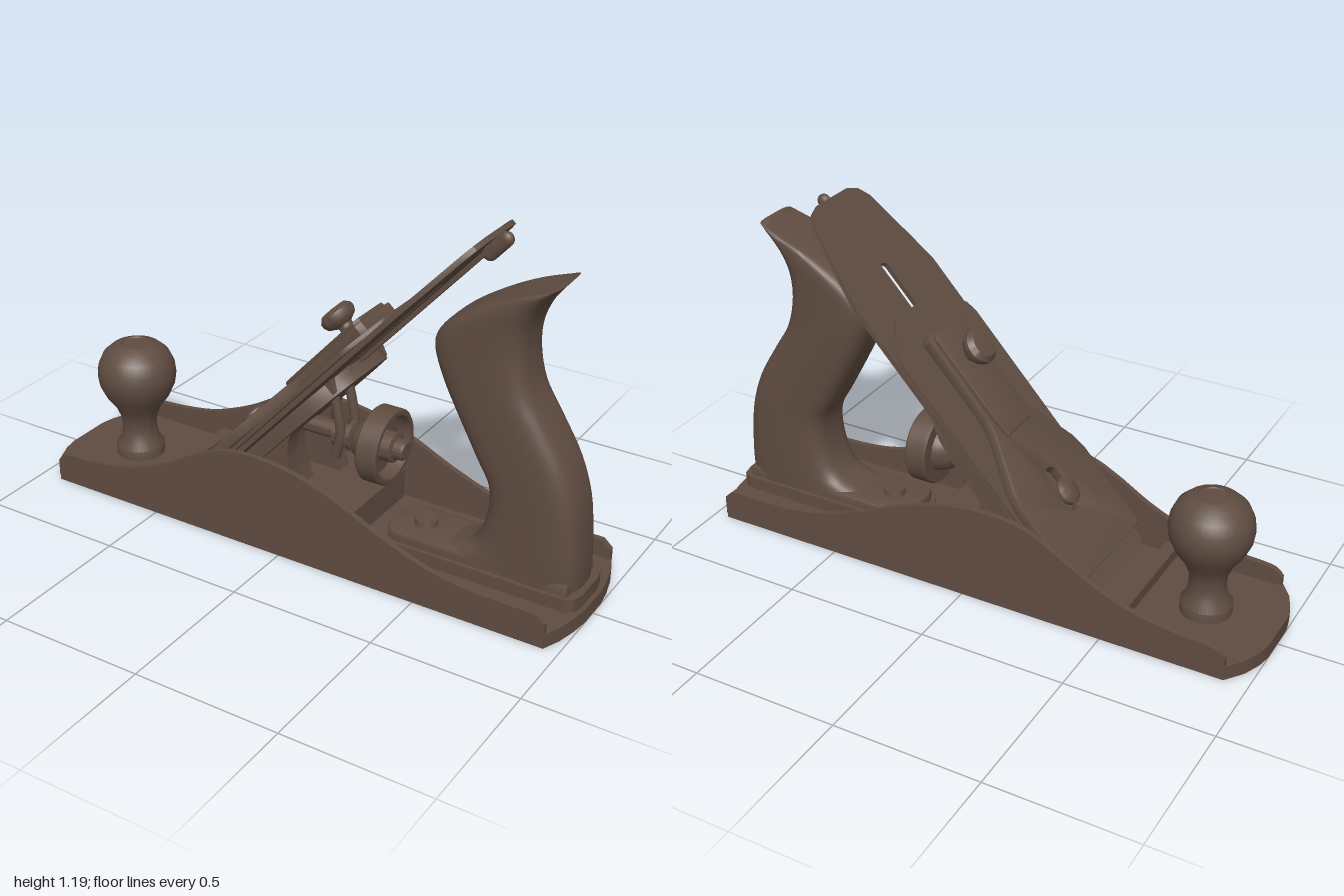
import * as THREE from 'three';
import { toCreasedNormals } from 'three/addons/utils/BufferGeometryUtils.js';

const bronze = new THREE.MeshStandardMaterial({ color: 0x5f4c41 });
bronze.name = 'dark bronze';

const V2 = (p) => new THREE.Vector2(p[0], p[1]);

function part(parent, name, geometry, x = 0, y = 0, z = 0) {
  const mesh = new THREE.Mesh(geometry, bronze);
  mesh.name = name;
  mesh.position.set(x, y, z);
  parent.add(mesh);
  return mesh;
}

const box = (w, h, d) => new THREE.BoxGeometry(w, h, d);
const cylinder = (r0, r1, h) => toCreasedNormals(new THREE.CylinderGeometry(r0, r1, h, 32), 0.6);
const lathe = (points) => toCreasedNormals(new THREE.LatheGeometry(points.map(V2), 40), 0.6);

// Horizontal plate, symmetric in z, from half an outline of [x, z] points
function plate(half, y0, y1, hole, bevel = 0) {
  const other = half.filter((p) => p[1] > 0).reverse().map(([x, z]) => [x, -z]);
  const shape = new THREE.Shape([...half, ...other].map(V2));
  if (hole) {
    const [a, b, r] = hole;
    const path = new THREE.Path();
    path.absarc(a, 0, r, Math.PI / 2, Math.PI * 1.5, false);
    path.absarc(b, 0, r, -Math.PI / 2, Math.PI / 2, false);
    path.closePath();
    shape.holes.push(path);
  }
  const geometry = new THREE.ExtrudeGeometry(shape, {
    depth: y1 - y0 - 2 * bevel, bevelEnabled: bevel > 0, bevelSize: bevel,
    bevelThickness: bevel, bevelOffset: -bevel, bevelSegments: 2, curveSegments: 12,
  });
  geometry.rotateX(-Math.PI / 2).translate(0, y0 + bevel, 0);
  return toCreasedNormals(geometry, 0.5);
}

// Upright slab: side profile in x and y, given thickness in z
function slab(shape, thickness) {
  const geometry = new THREE.ExtrudeGeometry(shape, { depth: thickness, bevelEnabled: false, curveSegments: 40 });
  return toCreasedNormals(geometry.translate(0, 0, -thickness / 2), 0.5);
}

// Rear grip lofted through [frontX, frontY, backX, backY, halfWidth] sections
function gripGeometry() {
  const sections = [
    [0.52, 0.13, 0.965, 0.08, 0.105], [0.60, 0.17, 0.967, 0.16, 0.105], [0.645, 0.27, 0.96, 0.27, 0.105],
    [0.648, 0.38, 0.945, 0.38, 0.105], [0.6, 0.47, 0.905, 0.5, 0.105], [0.53, 0.6, 0.835, 0.62, 0.105],
    [0.48, 0.7, 0.775, 0.72, 0.105], [0.448, 0.79, 0.75, 0.83, 0.105], [0.45, 0.84, 0.755, 0.92, 0.105],
    [0.5, 0.905, 0.78, 0.985, 0.105], [0.6, 0.975, 0.81, 1.03, 0.102], [0.7, 1.025, 0.835, 1.06, 0.098],
    [0.81, 1.065, 0.85, 1.078, 0.085],
  ];
  const front = new THREE.CatmullRomCurve3(sections.map((s) => new THREE.Vector3(s[0], s[1], s[4])));
  const back = new THREE.CatmullRomCurve3(sections.map((s) => new THREE.Vector3(s[2], s[3], s[4])));
  const rings = 48, sides = 40, positions = [], index = [];
  const soft = (v) => Math.sign(v) * Math.abs(v) ** 0.55;
  for (let i = 0; i <= rings; i++) {
    const f = front.getPoint(i / rings), b = back.getPoint(i / rings);
    for (let j = 0; j < sides; j++) {
      const a = (j / sides) * Math.PI * 2, k = soft(Math.cos(a)) / 2;
      positions.push((f.x + b.x) / 2 + (b.x - f.x) * k, (f.y + b.y) / 2 + (b.y - f.y) * k, f.z * soft(Math.sin(a)));
    }
  }
  for (let i = 0; i < rings; i++) {
    for (let j = 0; j < sides; j++) {
      const a = i * sides + j, c = i * sides + (j + 1) % sides;
      index.push(a, a + sides, c, c, a + sides, c + sides);
    }
  }
  const top = rings * sides;
  for (let j = 1; j < sides - 1; j++) index.push(top, top + j + 1, top + j);
  const geometry = new THREE.BufferGeometry();
  geometry.setAttribute('position', new THREE.Float32BufferAttribute(positions, 3));
  geometry.setIndex(index);
  return toCreasedNormals(geometry, 0.9);
}

export function createModel() {
  const model = new THREE.Group();
  model.name = 'handPlane';

  // Sole with curved ends
  part(model, 'sole', plate([[-1, 0.08], [-0.99, 0.13], [-0.965, 0.19], [-0.92, 0.25],
    [0.95, 0.25], [0.975, 0.19], [0.992, 0.12], [1, 0.06]], 0, 0.05));

  // Curved side cheeks
  const cheek = new THREE.Shape();
  cheek.moveTo(0.95, 0.02);
  cheek.lineTo(-0.92, 0.02);
  cheek.lineTo(-0.92, 0.08);
  cheek.splineThru([[-0.88, 0.108], [-0.74, 0.12], [-0.6, 0.145], [-0.45, 0.205], [-0.32, 0.28], [-0.22, 0.325],
    [-0.1, 0.34], [0.05, 0.325], [0.2, 0.28], [0.38, 0.2], [0.55, 0.14], [0.7, 0.117], [0.92, 0.113]].map(V2));
  cheek.lineTo(0.95, 0.085);
  for (const side of [1, -1]) part(model, 'cheek', slab(cheek, 0.02), 0, 0, side * 0.243);

  // Ridge ahead of the mouth
  part(model, 'mouthRidge', box(0.045, 0.05, 0.47), -0.535, 0.065);

  // Front knob
  part(model, 'frontKnob', lathe([[0.085, 0.04], [0.085, 0.085], [0.068, 0.11], [0.06, 0.15], [0.062, 0.19],
    [0.08, 0.235], [0.112, 0.28], [0.132, 0.325], [0.137, 0.36], [0.133, 0.395], [0.115, 0.435], [0.085, 0.462],
    [0.05, 0.474], [0.048, 0.47], [0, 0.47]]), -0.755);

  // Rear grip, its toe and heel pad
  part(model, 'rearGrip', gripGeometry());
  part(model, 'gripToe', plate([[0.3, 0.05], [0.315, 0.085], [0.35, 0.1], [0.95, 0.1]], 0.04, 0.13, null, 0.012));
  part(model, 'heelPad', plate([[0.28, 0.05], [0.3, 0.09], [0.34, 0.115], [0.95, 0.115], [0.975, 0.1], [0.985, 0.06]], 0.04, 0.095));
  part(model, 'toeScrew', cylinder(0.035, 0.04, 0.025), 0.41, 0.138);

  // Frog: base block and two side ribs under the sloping bed
  part(model, 'frogBase', box(0.5, 0.11, 0.45), -0.05, 0.1);
  const rib = new THREE.Shape();
  rib.moveTo(-0.38, 0.06);
  rib.lineTo(0.02, 0.06);
  rib.lineTo(0.02, 0.15);
  rib.splineThru([[-0.01, 0.25], [-0.02, 0.34], [0.0, 0.42], [0.07, 0.52], [0.16, 0.6]].map(V2));
  rib.lineTo(0.14, 0.64);
  for (const side of [1, -1]) {
    part(model, 'frogRib', slab(rib, 0.06), 0, 0, side * 0.13);
    part(model, 'frogScrew', cylinder(0.03, 0.03, 0.03), 0.13, 0.165, side * 0.15);
  }
  part(model, 'frogWeb', slab(rib, 0.05), -0.05, -0.02);

  // Adjusting shaft with a cupped wheel
  const wheel = part(model, 'adjustingWheel', lathe([[0, -0.08], [0.03, -0.08], [0.03, 0.07], [0.05, 0.075], [0.05, 0.09],
    [0.03, 0.095], [0.03, 0.12], [0.05, 0.125], [0.05, 0.14], [0.035, 0.145], [0.06, 0.16], [0.075, 0.19], [0.08, 0.21],
    [0.122, 0.21], [0.128, 0.217], [0.128, 0.28], [0.122, 0.286], [0.108, 0.286], [0.105, 0.235], [0.05, 0.235],
    [0.05, 0.29], [0.034, 0.295], [0.034, 0.322], [0.028, 0.33], [0, 0.33]]), 0, 0.37);
  wheel.rotation.z = -Math.PI / 2;
  const fork = new THREE.CatmullRomCurve3([[0.09, 0.3], [0.11, 0.38], [0.1, 0.46], [0.08, 0.54], [0.05, 0.62]]
    .map(([x, y]) => new THREE.Vector3(x, y, 0)));
  for (const side of [1, -1]) part(model, 'adjustingFork', new THREE.TubeGeometry(fork, 20, 0.017, 10), 0, 0, side * 0.045);

  // Cutting assembly: local x runs up the blade, y is its upper face
  const cutter = new THREE.Group();
  cutter.name = 'cuttingAssembly';
  cutter.position.set(-0.477, 0, 0);
  cutter.rotation.z = THREE.MathUtils.degToRad(47.7);
  model.add(cutter);

  part(cutter, 'frogBed', plate([[0.12, 0.215], [0.68, 0.215], [0.78, 0.2], [0.85, 0.17], [0.89, 0.13], [0.91, 0.08]],
    -0.075, -0.027));
  part(cutter, 'blade', plate([[0.06, 0.228], [1.26, 0.228], [1.36, 0.205], [1.55, 0.155], [1.59, 0.125], [1.607, 0.08]],
    -0.02, -0.003, [0.5, 1.32, 0.022]));
  part(cutter, 'capIron', plate([[0.09, 0.228], [1.04, 0.228], [1.08, 0.215], [1.165, 0.13], [1.172, 0.11]], 0, 0.014));
  part(cutter, 'leverCap', plate([[0.15, 0.22], [0.46, 0.22], [0.52, 0.205], [0.69, 0.115], [0.75, 0.1], [1.05, 0.1], [1.07, 0.085]],
    0.016, 0.055, [0.37, 0.46, 0.035], 0.006));
  part(cutter, 'leverCapRise', plate([[0.66, 0.075], [0.74, 0.085], [1.04, 0.085], [1.06, 0.07]], 0.05, 0.068, null, 0.006));
  part(cutter, 'capScrew', lathe([[0.02, 0], [0.02, 0.055], [0.047, 0.057], [0.047, 0.072], [0.03, 0.083], [0, 0.086]]), 0.4);
  part(cutter, 'thumbScrew', lathe([[0.025, 0.05], [0.025, 0.085], [0.052, 0.1], [0.06, 0.115], [0.06, 0.13],
    [0.045, 0.146], [0, 0.15]]), 0.945);

  // Sideways adjusting lever beneath the blade
  part(cutter, 'lateralLever', box(0.75, 0.014, 0.036), 1.2, -0.033);
  const tip = part(cutter, 'lateralLeverTip', new THREE.CapsuleGeometry(0.024, 0.075, 6, 16), 1.575, -0.043);
  tip.rotation.z = -Math.PI / 2;
  tip.scale.z = 0.75;

  return model;
}
